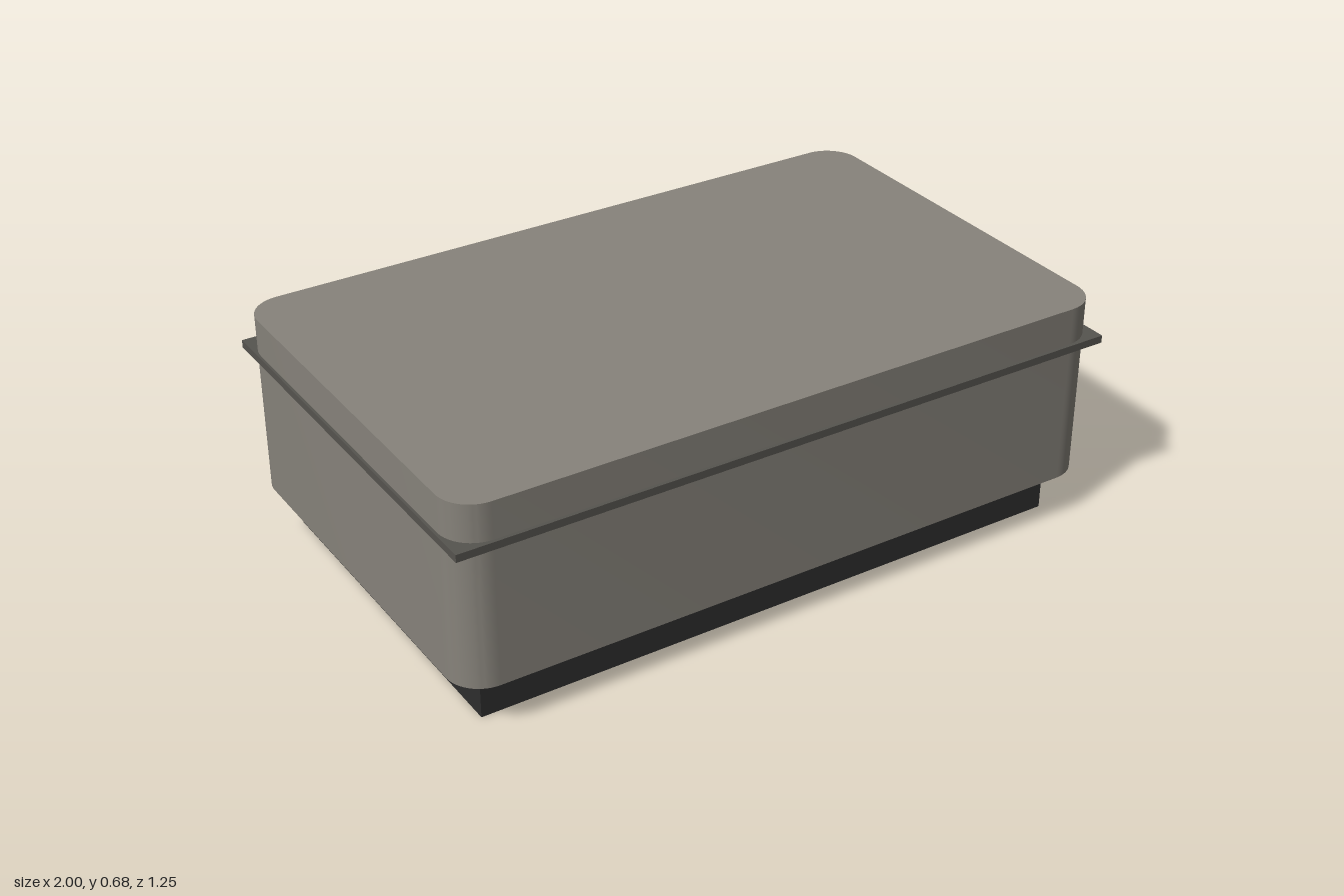
import * as THREE from 'three';
import { toCreasedNormals } from 'three/addons/utils/BufferGeometryUtils.js';

// Upright block with rounded vertical corners, from y0 to y1
function roundedBlock(width, depth, radius, y0, y1) {
  const x = width / 2, z = depth / 2, r = radius;
  const shape = new THREE.Shape();
  shape.absarc(x - r, z - r, r, 0, Math.PI / 2);
  shape.absarc(-x + r, z - r, r, Math.PI / 2, Math.PI);
  shape.absarc(-x + r, -z + r, r, Math.PI, Math.PI * 1.5);
  shape.absarc(x - r, -z + r, r, Math.PI * 1.5, Math.PI * 2);
  shape.closePath();
  const geometry = new THREE.ExtrudeGeometry(shape, { depth: y1 - y0, bevelEnabled: false, curveSegments: 8 });
  geometry.rotateX(-Math.PI / 2).translate(0, y0, 0);
  return toCreasedNormals(geometry, Math.PI / 6);
}

// Square-cornered block from y0 to y1
function block(width, depth, y0, y1) {
  return new THREE.BoxGeometry(width, y1 - y0, depth).translate(0, (y0 + y1) / 2, 0);
}

export function createModel() {
  const model = new THREE.Group();
  model.name = 'box';
  const add = (name, geometry, color) => {
    const mesh = new THREE.Mesh(geometry, new THREE.MeshStandardMaterial({ color }));
    mesh.name = name;
    model.add(mesh);
  };

  // Recessed dark plinth
  add('base', block(1.82, 1.065, 0, 0.145), 0x2e2e2e);
  // Main body with rounded upright corners
  add('body', roundedBlock(1.985, 1.225, 0.1, 0.145, 0.682), 0x87837b);
  // Thin square-cornered band around the lid seam
  add('seamBand', block(2, 1.245, 0.552, 0.574), 0x56544f);
  return model;
}
